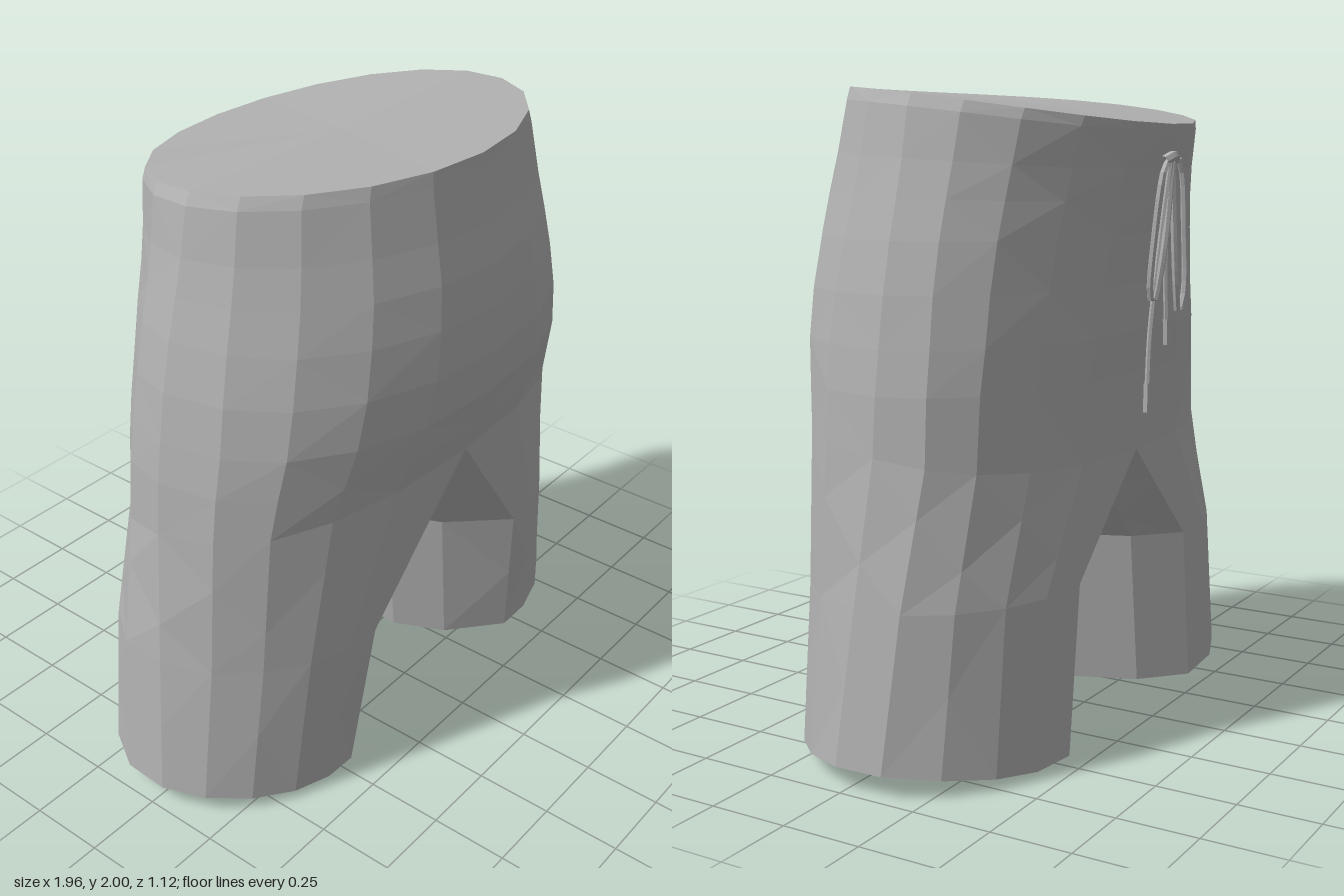
import * as THREE from 'three';

const N = 10; // columns on each half of the body
const V = (x, y, z) => new THREE.Vector3(x, y, z);
const mirror = ring => ring.map(p => V(-p.x, p.y, p.z)).reverse();

// Torso sections: height, half width, back z, front z, squareness, waist tilt
const sections = [
  [2.0, 0.65, 0.48, -0.54, 1, 1],
  [1.96, 0.67, 0.485, -0.535, 1, 0.9],
  [1.8, 0.70, 0.515, -0.51, 1, 0.5],
  [1.68, 0.73, 0.54, -0.495, 1, 0.25],
  [1.55, 0.765, 0.555, -0.48, 0.98, 0],
  [1.4, 0.80, 0.56, -0.465, 0.95, 0],
  [1.25, 0.825, 0.54, -0.455, 0.9, 0],
  [1.12, 0.845, 0.50, -0.44, 0.86, 0],
  [1.0, 0.86, 0.465, -0.43, 0.82, 0],
];

// Half outline of a torso section, from back centre round the left to front centre
function halfRing([y, rx, back, front, e, tilt], isSplit) {
  const cz = -0.03;
  return Array.from({ length: N + 1 }, (_, i) => {
    const a = Math.PI * i / N, c = Math.cos(a), s = i % N ? Math.sin(a) : 0;
    const z = cz + Math.sign(c) * Math.abs(c) ** e * (c > 0 ? back - cz : cz - front);
    const t = (0.48 - z) / 1.02;
    const drop = tilt * 0.12 * (0.3 * t + 0.7 * t * t);
    return V(rx * s ** e, isSplit ? 0.945 + 0.075 * c : y - drop, z);
  });
}

// Skin joining successive closed rings, listed from top to bottom
function loft(rings) {
  const pts = [];
  for (let r = 0; r + 1 < rings.length; r++) {
    const n = rings[r].length;
    for (let i = 0; i < n; i++) {
      const j = (i + 1) % n;
      const [a, b, c, d] = [rings[r][i], rings[r + 1][i], rings[r + 1][j], rings[r][j]];
      if ((r + i) % 2) pts.push(a, b, c, a, c, d);
      else pts.push(a, b, d, b, c, d);
    }
  }
  return pts;
}

// Fan closing a ring
function cap(ring, up) {
  const mid = ring.reduce((s, p) => s.add(p), V(0, 0, 0)).divideScalar(ring.length);
  return ring.flatMap((p, i) => {
    const q = ring[(i + 1) % ring.length];
    return up ? [mid, p, q] : [mid, q, p];
  });
}

export function createModel() {
  const group = new THREE.Group();
  const grey = new THREE.MeshStandardMaterial({ color: 0xb0b0b0 });
  grey.name = 'grey cloth';
  grey.flatShading = true;

  const add = (name, points) => {
    const g = new THREE.BufferGeometry().setFromPoints(points);
    g.computeVertexNormals();
    const m = new THREE.Mesh(g, grey);
    m.name = name;
    group.add(m);
  };

  // Torso and closed waist
  const halves = sections.map((s, i) => halfRing(s, i === sections.length - 1));
  const torso = halves.map(h => [...h, ...mirror(h).slice(1, -1)]);
  add('torso', loft(torso));
  add('waistCap', cap(torso[0], true));

  // Leg hem: outer outline resampled, then the inner side from front to back
  const hemY = x => 0.065 * Math.max(0, (x - 0.4) / 0.58) ** 1.4;
  const outer = new THREE.CatmullRomCurve3([
    [0.45, 0.37], [0.60, 0.37], [0.76, 0.31], [0.90, 0.19], [0.98, 0.03],
    [0.96, -0.16], [0.82, -0.33], [0.66, -0.42], [0.43, -0.43],
  ].map(([x, z]) => V(x, 0, z)));
  const hem = Array.from({ length: N + 1 }, (_, i) => outer.getPoint(i / N));
  hem.push(V(0.29, 0, -0.30), V(0.21, 0, -0.10), V(0.20, 0, 0.05), V(0.28, 0, 0.22));
  hem.forEach(p => { p.y = hemY(p.x); });

  // Upper leg edge: torso split line plus the crotch seam
  const split = [...halves.at(-1),
    V(0, 0.76, -0.30), V(0, 0.70, -0.10), V(0, 0.69, 0.06), V(0, 0.80, 0.25)];
  const knee = hem.map((p, i) => V(p.x - 0.06, 0.52, (p.z + split[i].z) / 2));
  const between = (a, b, t) => a.map((p, i) => p.clone().lerp(b[i], t));
  const leg = [split, between(split, knee, 0.35), between(split, knee, 0.7), knee,
    between(knee, hem, 0.5), hem];

  for (const [side, rings] of [['left', leg], ['right', leg.map(mirror)]]) {
    add(side + 'Leg', loft(rings));
    add(side + 'HemCap', cap(rings.at(-1), false));
  }

  // Tied drawstring on the waist
  const cord = (name, path, radius = 0.011) => {
    const curve = new THREE.CatmullRomCurve3(path.map(p => V(...p)));
    const m = new THREE.Mesh(new THREE.TubeGeometry(curve, 24, radius, 6), grey);
    m.name = name;
    group.add(m);
  };
  cord('leftLoop', [[0, 1.77, -0.53], [0.06, 1.74, -0.54], [0.085, 1.55, -0.525],
    [0.07, 1.36, -0.505], [0.045, 1.34, -0.505], [0.03, 1.5, -0.53], [0, 1.77, -0.54]]);
  cord('rightLoop', [[0, 1.77, -0.53], [-0.04, 1.77, -0.545], [-0.085, 1.55, -0.545],
    [-0.10, 1.36, -0.54], [-0.07, 1.30, -0.535], [-0.04, 1.38, -0.54], [0, 1.77, -0.54]]);
  cord('leftTail', [[0.01, 1.77, -0.54], [0.03, 1.5, -0.515], [0.045, 1.25, -0.495],
    [0.05, 1.08, -0.49]], 0.009);
  cord('rightTail', [[-0.01, 1.77, -0.54], [-0.03, 1.5, -0.51], [-0.06, 1.26, -0.50]], 0.009);
  cord('leftTip', [[0.05, 1.09, -0.49], [0.052, 1.0, -0.49]], 0.013);
  cord('rightTip', [[-0.06, 1.28, -0.50], [-0.065, 1.2, -0.50]], 0.013);
  cord('knot', [[-0.035, 1.77, -0.53], [0, 1.785, -0.545], [0.035, 1.77, -0.53]], 0.016);

  return group;
}
